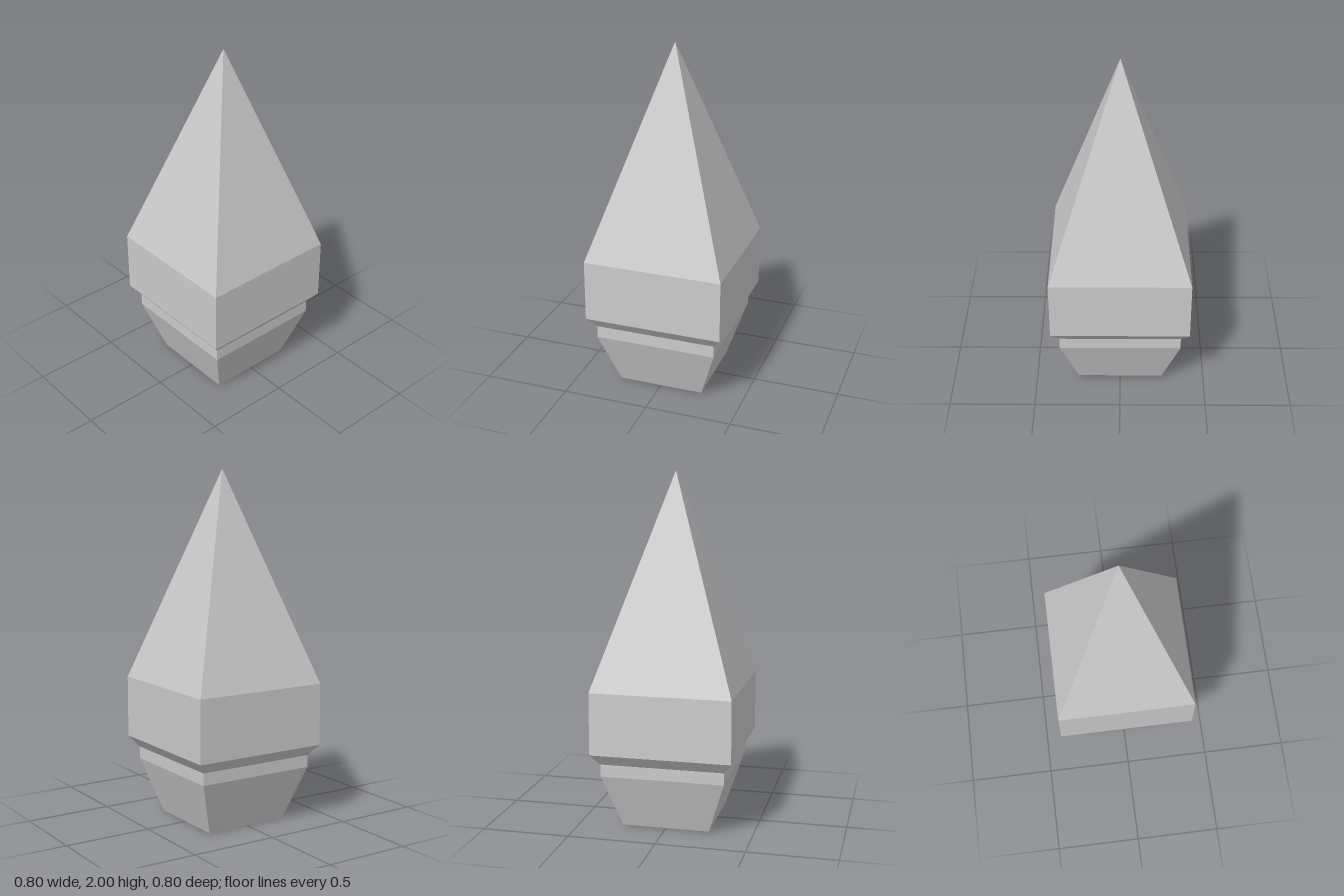
import * as THREE from 'three';

const material = new THREE.MeshStandardMaterial({ color: 0xcccccc, flatShading: true });

// Four-sided frustum ring; half widths and heights at bottom and top
function squareSection(name, halfBottom, yBottom, halfTop, yTop) {
  const h = yTop - yBottom;
  const geometry = new THREE.CylinderGeometry(
    halfTop * Math.SQRT2, halfBottom * Math.SQRT2, h, 4, 1, true, Math.PI / 4
  ).toNonIndexed();
  geometry.translate(0, yBottom + h / 2, 0);
  geometry.computeVertexNormals();
  const mesh = new THREE.Mesh(geometry, material);
  mesh.name = name;
  return mesh;
}

export function createModel() {
  const group = new THREE.Group();
  group.name = 'spire';

  // Stacked sections from the foot up to the point: [name, half width, y] at each lower edge
  const levels = [
    ['taperedFoot', 0.25, 0],
    ['neck', 0.352, 0.312],
    ['bevel', 0.352, 0.382],
    ['body', 0.4, 0.445],
    ['pyramidTip', 0.4, 0.8],
    ['apex', 0, 2],
  ];
  for (let i = 0; i < levels.length - 1; i++) {
    const [name, half, y] = levels[i];
    const [, nextHalf, nextY] = levels[i + 1];
    group.add(squareSection(name, half, y, nextHalf, nextY));
  }

  // Underside of the foot
  const underside = new THREE.Mesh(new THREE.PlaneGeometry(0.5, 0.5).rotateX(Math.PI / 2), material);
  underside.name = 'underside';
  group.add(underside);

  return group;
}
